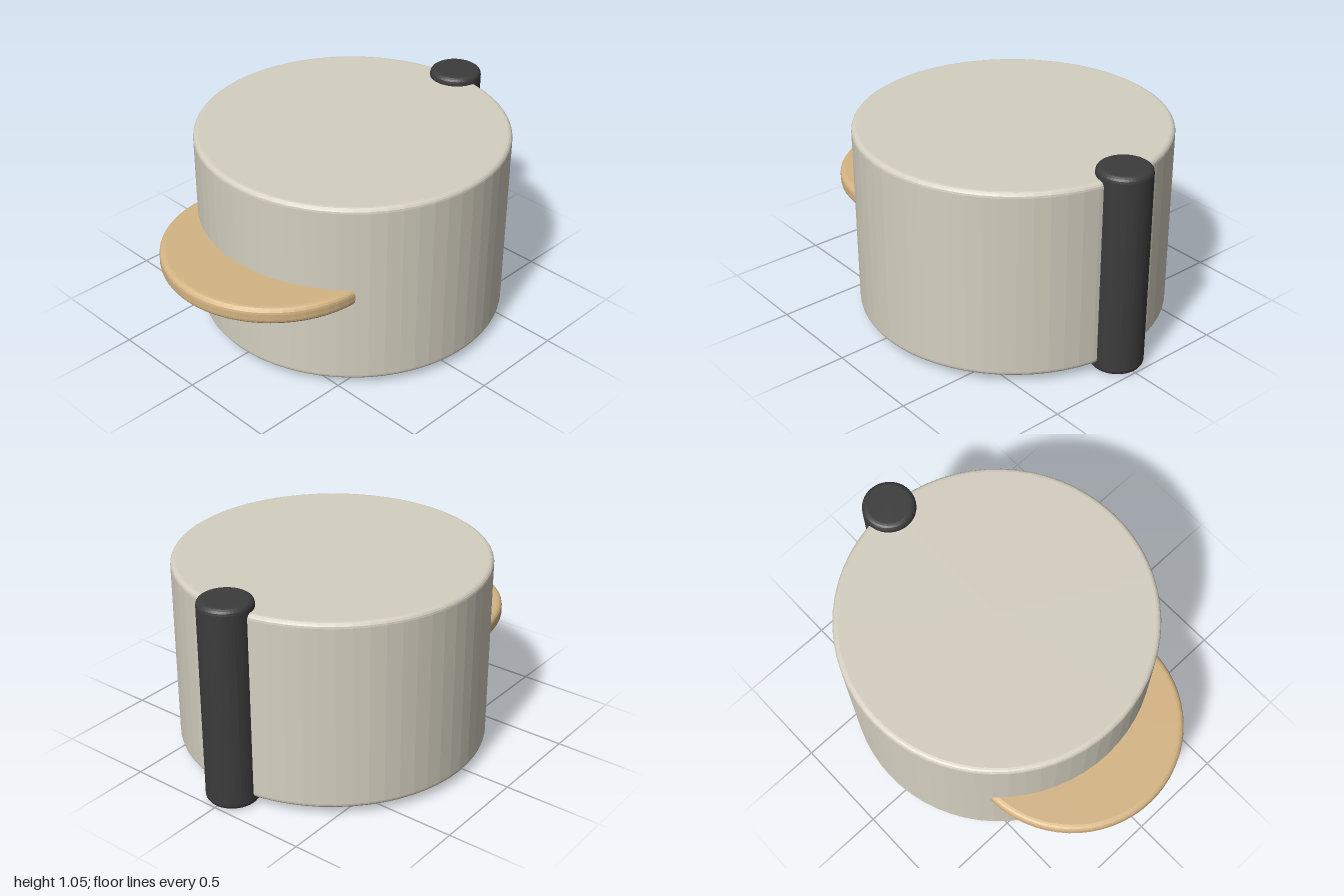
import * as THREE from 'three';

// Solid disc with rounded rims and faceted sides, from y0 to y1
function roundedCylinder(radius, y0, y1, bevel, sides) {
  const points = [new THREE.Vector2(0, y0)];
  const steps = 4;
  for (const top of [false, true]) {
    for (let i = 0; i <= steps; i++) {
      const a = (i / steps) * Math.PI / 2;
      const out = bevel * (top ? Math.cos(a) : Math.sin(a));
      const up = bevel * (top ? Math.sin(a) : -Math.cos(a));
      points.push(new THREE.Vector2(radius - bevel + out, (top ? y1 - bevel : y0 + bevel) + up));
    }
  }
  points.push(new THREE.Vector2(0, y1));
  const geometry = new THREE.LatheGeometry(points, sides).toNonIndexed();
  geometry.computeVertexNormals();
  return geometry;
}

export function createModel() {
  const model = new THREE.Group();
  const material = (name, color) => {
    const m = new THREE.MeshStandardMaterial({ color });
    m.name = name;
    return m;
  };
  const add = (name, geometry, mat, z) => {
    const mesh = new THREE.Mesh(geometry, mat);
    mesh.name = name;
    mesh.position.z = z;
    model.add(mesh);
  };

  // Round drum
  add('body', roundedCylinder(0.785, 0.042, 1.012, 0.025, 64), material('warm grey', 0xd4cfc0), -0.098);
  // Upright rod at the back
  add('backRod', roundedCylinder(0.133, 0, 1.053, 0.028, 48), material('charcoal', 0x3c3c3d), -0.867);
  // Disc set into the front, showing as a crescent
  add('frontDisc', roundedCylinder(0.563, 0.485, 0.572, 0.028, 64), material('tan', 0xd4b483), 0.434);
  return model;
}
